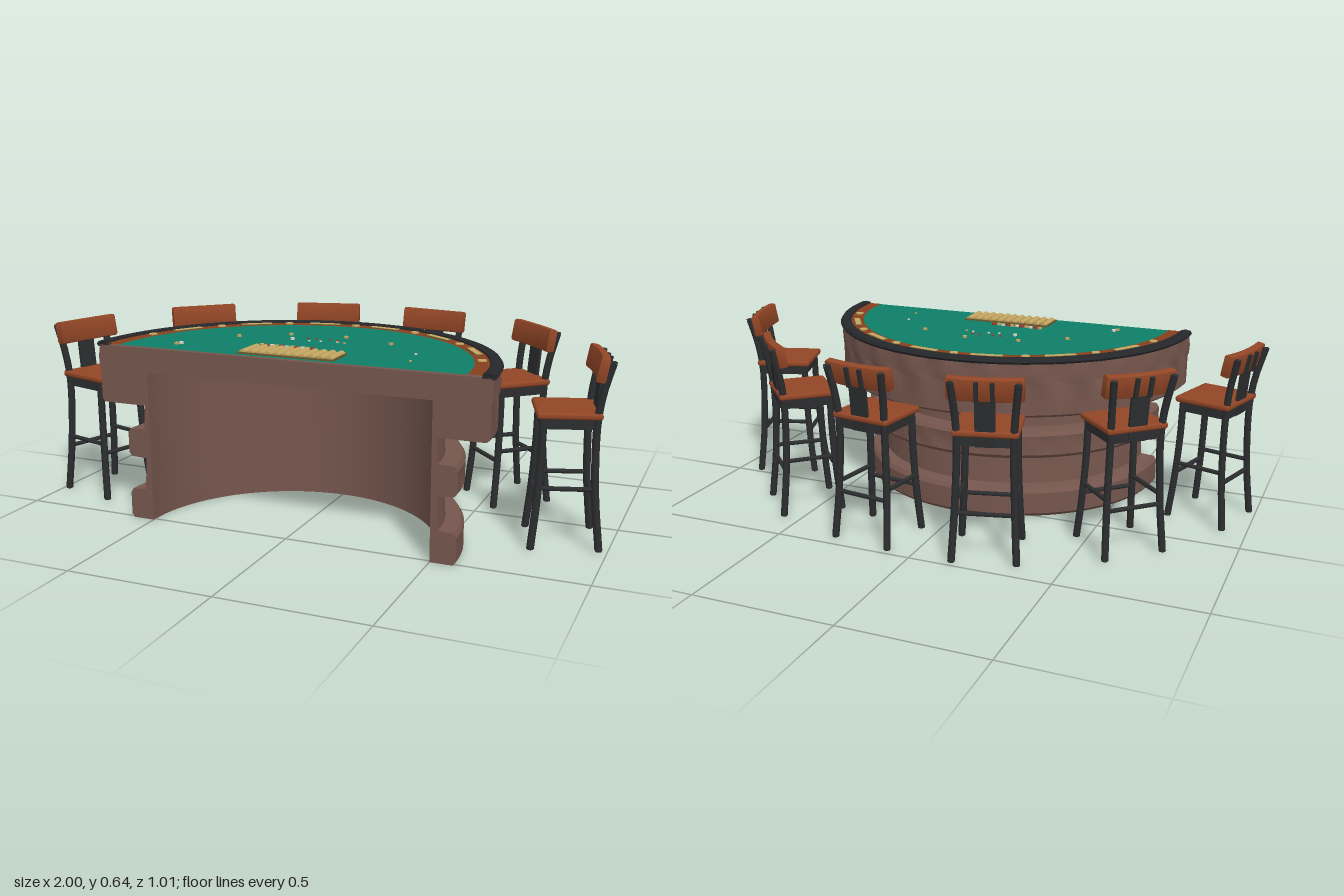
import * as THREE from 'three';
import { toCreasedNormals } from 'three/addons/utils/BufferGeometryUtils.js';
import { RoundedBoxGeometry } from 'three/addons/geometries/RoundedBoxGeometry.js';

const paint = (name, color, side = THREE.FrontSide) => {
  const m = new THREE.MeshStandardMaterial({ color, side });
  m.name = name;
  return m;
};
const mats = {
  brown: paint('table brown', 0x75564d, THREE.DoubleSide),
  felt: paint('green felt', 0x0f7f68),
  rail: paint('black rail', 0x26272a, THREE.DoubleSide),
  ring: paint('dark wood', 0x87401f),
  leather: paint('seat leather', 0x924626),
  frame: paint('chair frame', 0x2c2d2f),
  gold: paint('brass', 0xc4a661),
  shade: paint('dark brass', 0x6f5a30),
  red: paint('red chip', 0xa8352c),
  white: paint('white chip', 0xd8d4c8),
};

const FRONT = 0.51; // straight edge of the table and centre of its arcs
const V = (x, y, z) => new THREE.Vector3(x, y, z);

function add(parent, name, geo, mat, x = 0, y = 0, z = 0) {
  const mesh = new THREE.Mesh(geo, mat);
  mesh.name = name;
  mesh.position.set(x, y, z);
  parent.add(mesh);
  return mesh;
}

// Half-turn lathe around the back, with flat caps on the front edge
function halfTurn(parent, name, profile, mat, warp) {
  const pts = profile.map(([r, y]) => new THREE.Vector2(r, y));
  const geo = new THREE.LatheGeometry([...pts, pts[0]], 72, Math.PI / 2, Math.PI);
  if (warp) {
    const p = geo.attributes.position;
    for (let i = 0; i < p.count; i++) {
      const x = p.getX(i), z = p.getZ(i);
      const k = warp(Math.hypot(x, z), p.getY(i), Math.atan2(x, -z));
      p.setX(i, x * k);
      p.setZ(i, z * k);
    }
  }
  add(parent, name, toCreasedNormals(geo, 0.5), mat, 0, 0, FRONT);
  for (const s of [1, -1]) {
    const shape = new THREE.Shape(pts.map((v) => new THREE.Vector2(v.x * s, v.y)));
    add(parent, name + 'End', new THREE.ShapeGeometry(shape), mat, 0, 0, FRONT);
  }
}

// Flat half ring or half disc facing up
function halfDisc(parent, name, inner, outer, y, mat) {
  const geo = new THREE.RingGeometry(inner, outer, 72, 1, 0, Math.PI);
  geo.rotateX(-Math.PI / 2);
  add(parent, name, geo, mat, 0, y, FRONT);
}

function createTable() {
  const table = new THREE.Group();
  table.name = 'table';

  // Curved pedestal, padded bands, apron and slab; the padding is gently tufted
  const body = [
    [0.5, 0], [0.575, 0], [0.585, 0.012], [0.585, 0.09], [0.575, 0.105],
    [0.525, 0.108], [0.518, 0.22], [0.575, 0.222], [0.585, 0.235], [0.585, 0.27],
    [0.585, 0.305], [0.575, 0.32], [0.52, 0.322], [0.515, 0.405], [0.67, 0.405],
    [0.682, 0.415], [0.682, 0.518], [0.686, 0.53], [0.688, 0.56], [0.684, 0.59],
    [0.68, 0.603], [0, 0.603], [0, 0.52], [0.5, 0.52],
  ];
  halfTurn(table, 'tableBody', body, mats.brown, (r, y, a) => {
    const upper = r > 0.66 && y > 0.525 && y < 0.6;
    const middle = r > 0.58 && y > 0.26 && y < 0.28;
    return upper || middle ? 1 - 0.014 * Math.pow(Math.sin(a * 14), 2) : 1;
  });

  // Playing surface, inlaid ring and dark armrest
  halfDisc(table, 'feltTop', 0, 0.606, 0.608, mats.felt);
  halfDisc(table, 'woodRing', 0.604, 0.655, 0.609, mats.ring);
  halfTurn(table, 'armrest', [[0.65, 0.6], [0.688, 0.597], [0.693, 0.605],
    [0.687, 0.614], [0.67, 0.617], [0.652, 0.614]], mats.rail);

  // Cup holders and long trays set in the ring
  const onRing = (name, geo, mat, deg, y) => {
    const a = THREE.MathUtils.degToRad(deg);
    const m = add(table, name, geo, mat, 0.628 * Math.sin(a), y, FRONT - 0.628 * Math.cos(a));
    m.rotation.y = -a;
  };
  for (const deg of [-71.5, -46, -23, 0, 23, 46, 71.5]) {
    onRing('cupHolder', new THREE.CylinderGeometry(0.015, 0.015, 0.005, 20), mats.gold, deg, 0.6105);
  }
  for (const deg of [-58, -34, -10.8, 10.8, 34, 58]) {
    onRing('trayRim', new THREE.BoxGeometry(0.118, 0.004, 0.028), mats.shade, deg, 0.6095);
    onRing('tray', new THREE.BoxGeometry(0.11, 0.005, 0.02), mats.gold, deg, 0.6105);
  }

  // Dealer rack with rows of stacked chips
  add(table, 'chipRack', new THREE.BoxGeometry(0.336, 0.008, 0.116), mats.shade, 0, 0.61, 0.435);
  const roll = new THREE.CylinderGeometry(0.0135, 0.0135, 0.108, 12).rotateX(Math.PI / 2);
  for (let i = 0; i < 11; i++) {
    add(table, 'chipRoll', roll, mats.gold, (i - 5) * 0.0303, 0.609, 0.435);
  }

  // Loose chips
  const chip = new THREE.CylinderGeometry(0.008, 0.008, 0.007, 10);
  const kinds = [mats.gold, mats.white, mats.red];
  for (let i = 0; i < 11; i++) {
    add(table, 'chip', chip, kinds[(i * 2) % 3], -0.153 + i * 0.0185, 0.6115, 0.342 + (i % 2) * 0.004);
  }
  const loose = [[-0.145, 0.13, 0], [0.055, 0.11, 0], [0.24, 0.165, 0], [-0.3, 0.225, 0],
    [-0.43, 0.43, 0], [-0.42, 0.415, 1], [-0.105, 0.205, 1]];
  for (const [x, z, k] of loose) add(table, 'chip', chip, kinds[k], x, 0.6115, z);
  const small = new THREE.CylinderGeometry(0.005, 0.005, 0.004, 8);
  const bits = [[-0.06, 0.175, 2], [-0.03, 0.17, 2], [0.02, 0.17, 2], [0.05, 0.175, 2],
    [0, 0.205, 1], [0.06, 0.2, 1], [0.09, 0.21, 0], [-0.04, 0.21, 1], [0.39, 0.4, 0], [0.37, 0.29, 1]];
  for (const [x, z, k] of bits) add(table, 'smallChip', small, kinds[k], x, 0.61, z);
  return table;
}

// Rod along a smooth path, closed with flattened ends
function rod(parent, name, pts, radius) {
  const curve = new THREE.CatmullRomCurve3(pts);
  add(parent, name, new THREE.TubeGeometry(curve, pts.length > 2 ? 14 : 1, radius, 8), mats.frame);
  if (pts.length < 3) return;
  for (const p of [pts[0], pts[pts.length - 1]]) {
    const cap = add(parent, name + 'Cap', new THREE.SphereGeometry(radius, 8, 6), mats.frame, p.x, p.y, p.z);
    cap.scale.y = 0.4;
  }
}

// Bar stool with its back towards -z
function createChair() {
  const chair = new THREE.Group();
  for (const s of [-1, 1]) {
    rod(chair, 'backPost', [V(s * 0.108, 0.005, -0.108), V(s * 0.098, 0.2, -0.088), V(s * 0.092, 0.42, -0.084),
      V(s * 0.098, 0.52, -0.096), V(s * 0.108, 0.618, -0.12)], 0.0125);
    rod(chair, 'frontLeg', [V(s * 0.105, 0.005, 0.108), V(s * 0.096, 0.15, 0.094),
      V(s * 0.09, 0.3, 0.085), V(s * 0.088, 0.43, 0.082)], 0.0125);
    rod(chair, 'sideStretcher', [V(s * 0.096, 0.205, -0.088), V(s * 0.094, 0.205, 0.09)], 0.008);
  }
  rod(chair, 'frontStretcher', [V(-0.095, 0.17, 0.092), V(0.095, 0.17, 0.092)], 0.008);
  rod(chair, 'backStretcher', [V(-0.098, 0.17, -0.091), V(0.098, 0.17, -0.091)], 0.008);

  // Seat on a dark underframe
  add(chair, 'seatFrame', new THREE.BoxGeometry(0.195, 0.035, 0.18), mats.frame, 0, 0.418, 0);
  add(chair, 'seat', new RoundedBoxGeometry(0.22, 0.022, 0.205, 2, 0.009), mats.leather, 0, 0.444, 0.002);

  // Central splat, forking into two strips behind the backrest
  const splat = add(chair, 'splat', new THREE.BoxGeometry(0.066, 0.165, 0.01), mats.frame, 0, 0.482, -0.094);
  splat.rotation.x = -0.09;
  for (const s of [-1, 1]) {
    const strip = add(chair, 'splatStrip', new THREE.BoxGeometry(0.014, 0.07, 0.01), mats.frame, s * 0.026, 0.588, -0.119);
    strip.rotation.x = -0.2;
  }

  // Gently bowed, padded backrest
  const shape = new THREE.Shape();
  shape.moveTo(-0.118, -0.008);
  shape.quadraticCurveTo(0, 0.012, 0.118, -0.008);
  shape.lineTo(0.118, 0.008);
  shape.quadraticCurveTo(0, 0.028, -0.118, 0.008);
  const geo = new THREE.ExtrudeGeometry(shape, {
    depth: 0.064, bevelSize: 0.007, bevelThickness: 0.008, bevelSegments: 2, curveSegments: 10,
  });
  geo.rotateX(-Math.PI / 2);
  const rest = add(chair, 'backrest', toCreasedNormals(geo, 0.6), mats.leather, 0, 0.563, -0.083);
  rest.rotation.x = -0.18;
  return chair;
}

export function createModel() {
  const model = new THREE.Group();
  model.name = 'gamingTable';
  model.add(createTable());

  // Chairs around the arc: position, then outward direction of the back
  const seats = [[0.837, 0.155, 0.95, -0.305], [0.561, -0.206, 0.73, -0.68], [0.183, -0.353, 0.14, -0.99],
    [-0.222, -0.345, -0.25, -0.97], [-0.612, -0.123, -0.69, -0.72], [-0.842, 0.262, -0.96, -0.28]];
  const chair = createChair();
  seats.forEach(([x, z, dx, dz], i) => {
    const c = chair.clone();
    c.name = 'chair' + (i + 1);
    c.position.set(x, 0, z);
    c.rotation.y = Math.atan2(-dx, -dz);
    model.add(c);
  });
  return model;
}
